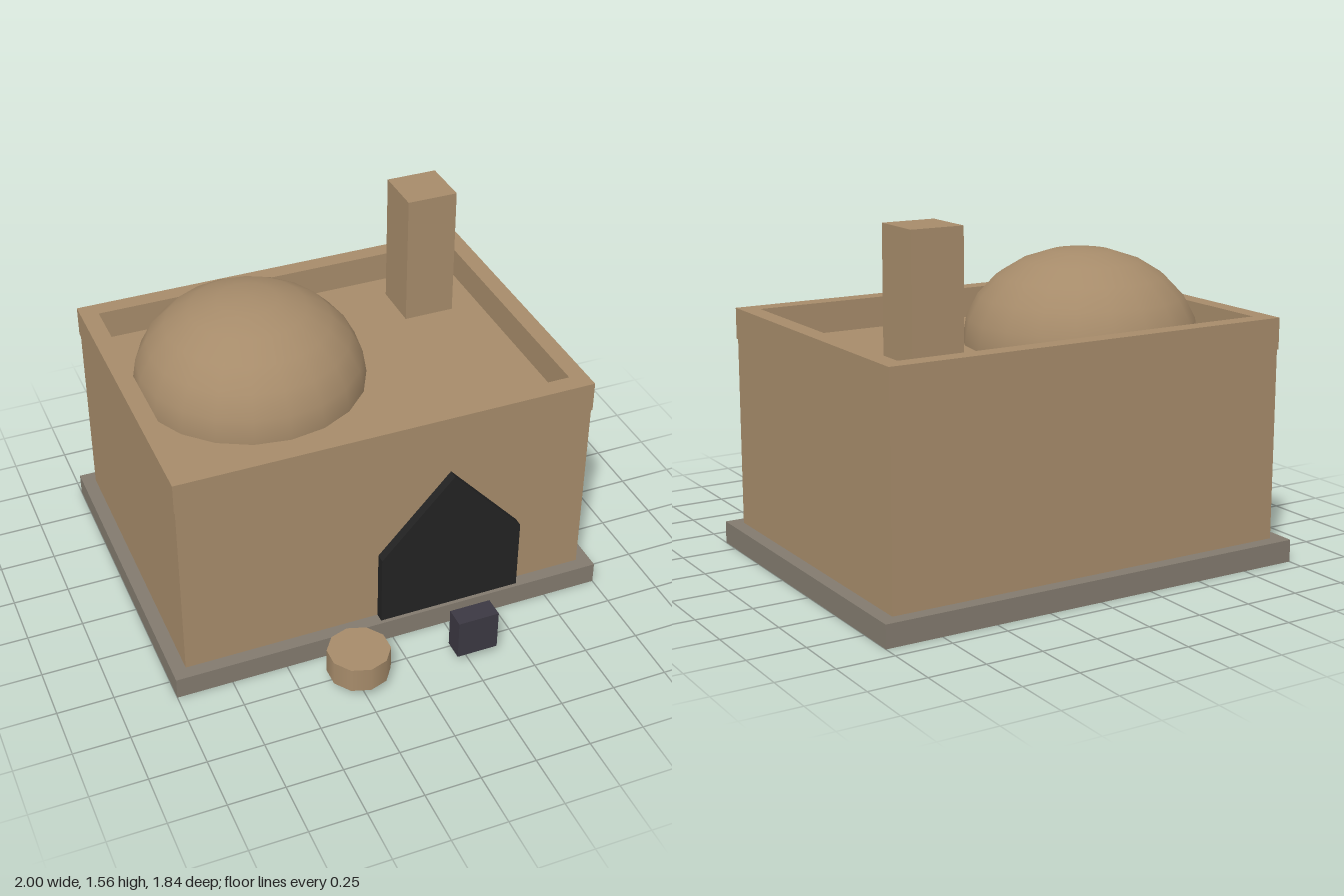
import * as THREE from 'three';

const material = (name, color) => {
  const m = new THREE.MeshStandardMaterial({ color });
  m.name = name;
  return m;
};

export function createModel() {
  const clay = material('clay', 0xa68b6a);
  const stone = material('stone', 0x827a6e);
  const black = material('doorBlack', 0x222222);
  const slate = material('slate', 0x3b3842);

  const model = new THREE.Group();
  model.name = 'domedHouse';

  const add = (name, geometry, mat) => {
    const mesh = new THREE.Mesh(geometry, mat);
    mesh.name = name;
    model.add(mesh);
    return mesh;
  };
  // Box given by its lower and upper corners
  const box = (name, mat, [x0, y0, z0], [x1, y1, z1]) => {
    const mesh = add(name, new THREE.BoxGeometry(x1 - x0, y1 - y0, z1 - z0), mat);
    mesh.position.set((x0 + x1) / 2, (y0 + y1) / 2, (z0 + z1) / 2);
    return mesh;
  };

  const roofY = 0.945;
  const wallTop = 1.083;

  // Plinth and main body
  box('plinth', stone, [-1, 0, -0.925], [1, 0.1, 0.603]);
  box('walls', clay, [-0.938, 0.1, -0.863], [0.938, roofY, 0.543]);

  // Parapet: a rectangular ring around the roof, a hair wider than the walls
  const rect = (path, x, z0, z1) => {
    path.moveTo(-x, -z1);
    path.lineTo(x, -z1);
    path.lineTo(x, -z0);
    path.lineTo(-x, -z0);
    path.closePath();
    return path;
  };
  const ring = rect(new THREE.Shape(), 0.943, -0.867, 0.547);
  ring.holes.push(rect(new THREE.Path(), 0.863, -0.787, 0.463));
  const parapetGeo = new THREE.ExtrudeGeometry(ring, { depth: wallTop - roofY, bevelEnabled: false });
  parapetGeo.rotateX(-Math.PI / 2);
  add('parapet', parapetGeo, clay).position.y = roofY;

  // Flattened dome
  const dome = add('dome', new THREE.SphereGeometry(0.517, 20, 6, 0, Math.PI * 2, 0, Math.PI / 2), clay);
  dome.scale.y = 0.795;
  dome.position.set(-0.333, roofY, -0.257);

  // Chimney
  box('chimney', clay, [0.492, roofY, -0.655], [0.727, 1.555, -0.42]);

  // Pointed doorway panel
  const door = new THREE.Shape();
  [[-0.05, 0.1], [0.61, 0.1], [0.61, 0.44], [0.28, 0.802], [-0.05, 0.44]]
    .forEach(([x, y], i) => (i ? door.lineTo(x, y) : door.moveTo(x, y)));
  door.closePath();
  add('doorway', new THREE.ExtrudeGeometry(door, { depth: 0.042, bevelEnabled: false }), black)
    .position.z = 0.543;

  // Objects in front of the house
  add('roundBlock', new THREE.CylinderGeometry(0.138, 0.138, 0.117, 10), clay)
    .position.set(-0.238, 0.109, 0.78);
  box('smallCrate', slate, [0.188, 0.05, 0.78], [0.375, 0.238, 0.873]);

  return model;
}
